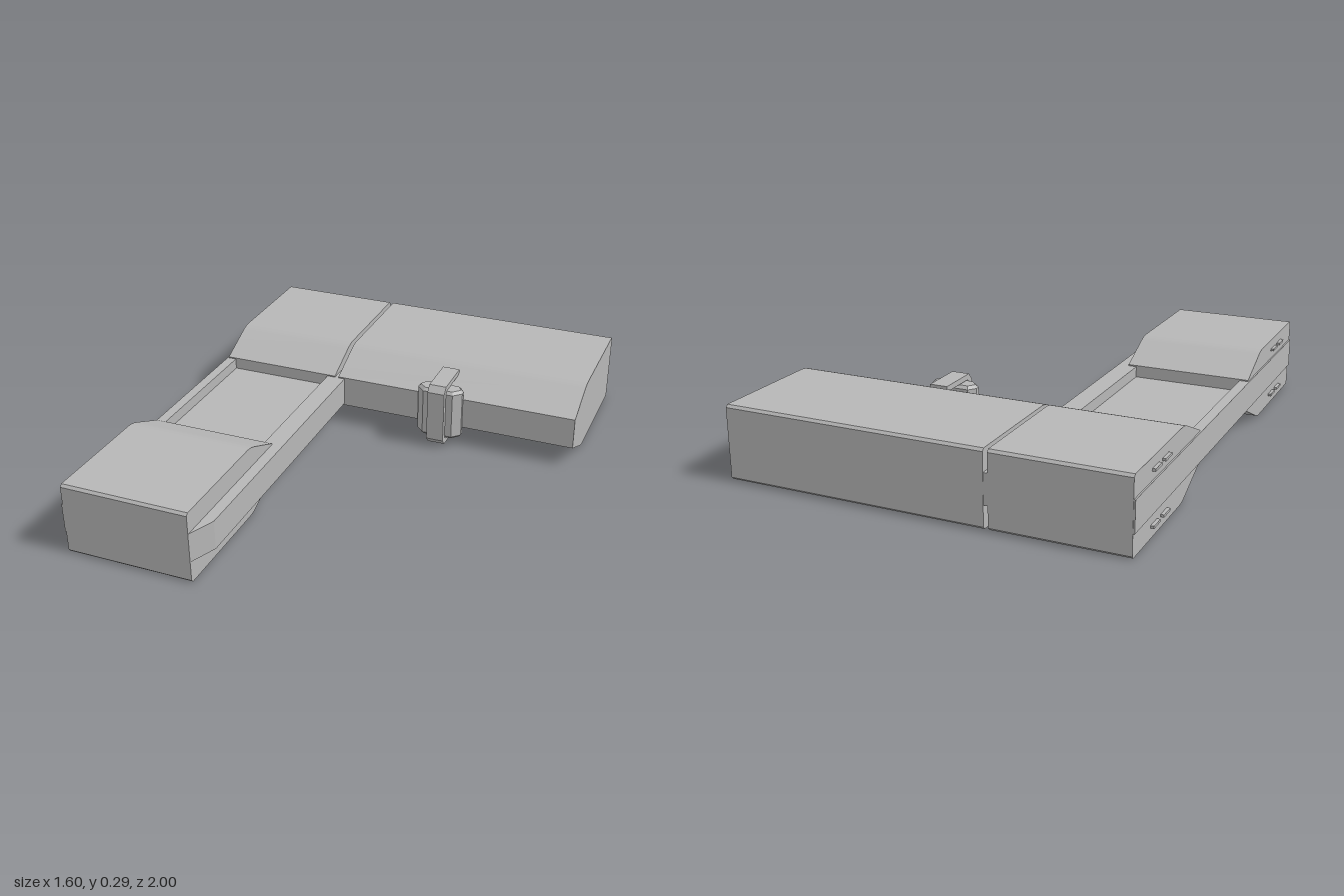
import * as THREE from 'three';
import { toCreasedNormals } from 'three/addons/utils/BufferGeometryUtils.js';

export function createModel() {
  const model = new THREE.Group();
  model.name = 'angledFrame';
  const grey = new THREE.MeshStandardMaterial({ color: 0xb6b6b6 });
  grey.name = 'plain grey';

  const add = (name, geometry) => {
    const mesh = new THREE.Mesh(geometry, grey);
    mesh.name = name;
    model.add(mesh);
    return mesh;
  };
  const box = (name, x0, x1, y0, y1, z0, z1) =>
    add(name, new THREE.BoxGeometry(x1 - x0, y1 - y0, z1 - z0))
      .position.set((x0 + x1) / 2, (y0 + y1) / 2, (z0 + z1) / 2);
  const polygon = (points) => new THREE.Shape(points.map(([a, b]) => new THREE.Vector2(a, b)));

  // Extrude a (z, y) profile sideways from x0 to x1
  const acrossX = (name, shape, x0, x1) => {
    const g = new THREE.ExtrudeGeometry(shape, { depth: x1 - x0, bevelEnabled: false, curveSegments: 6 });
    g.rotateY(-Math.PI / 2).translate(x1, 0, 0);
    add(name, toCreasedNormals(g, 0.35));
  };
  // Extrude an (x, z) outline upwards from y0 to y1, with an optional chamfer
  const upY = (name, points, y0, y1, bevel = 0) => {
    const g = new THREE.ExtrudeGeometry(polygon(points.map(([x, z]) => [x, -z])), {
      depth: y1 - y0 - 2 * bevel, bevelEnabled: bevel > 0, bevelSize: bevel,
      bevelThickness: bevel, bevelOffset: -bevel, bevelSegments: 1,
    });
    g.rotateX(-Math.PI / 2).translate(0, y0 + bevel, 0);
    add(name, g);
  };

  // Block profile: full height outside, tapering towards the middle of the frame
  const blockProfile = (s) => {
    const p = new THREE.Shape();
    p.moveTo(s * 0.99, 0);
    p.lineTo(s * 1, 0.01);
    p.lineTo(s * 1, 0.285);
    p.lineTo(s * 0.99, 0.295);
    p.lineTo(s * 0.53, 0.295);
    p.quadraticCurveTo(s * 0.5, 0.295, s * 0.47, 0.282);
    p.lineTo(s * 0.318, 0.215);
    p.lineTo(s * 0.318, 0.082);
    p.lineTo(s * 0.47, 0.014);
    p.quadraticCurveTo(s * 0.5, 0, s * 0.53, 0);
    p.closePath();
    return p;
  };
  acrossX('frontBlock', blockProfile(1), -0.79, -0.27);
  acrossX('backCornerBlock', blockProfile(-1), -0.79, -0.27);
  acrossX('backLongBlock', blockProfile(-1), -0.253, 0.8);

  // Rails, running the whole depth and filling the middle of the seam
  box('outerRail', -0.796, -0.755, 0.09, 0.21, -0.998, 0.998);
  upY('innerRail', [[-0.305, -0.998], [-0.225, -0.998], [-0.225, 0.89], [-0.27, 0.998], [-0.305, 0.998]], 0.09, 0.21);

  // Recessed panel between the rails
  box('panel', -0.76, -0.3, 0.135, 0.165, -0.33, 0.33);

  // Thin raised tabs on the outer side
  for (const s of [-1, 1])
    for (const y of [0.045, 0.25])
      for (const z of [0.7, 0.8])
        box('sideTab', -0.803, -0.785, y - 0.005, y + 0.005, s * z - 0.032, s * z + 0.032);

  // Clip body with faceted wings
  upY('clipBody', [
    [0.122, -0.325], [0.145, -0.355], [0.295, -0.355], [0.318, -0.325],
    [0.318, -0.305], [0.285, -0.272], [0.155, -0.272], [0.122, -0.305],
  ], 0.038, 0.26, 0.012);

  // Clip strap hooked over the front edge of the long block
  acrossX('clipStrap', polygon([
    [-0.45, 0.285], [-0.27, 0.285], [-0.247, 0.258], [-0.247, 0.038], [-0.27, 0.012], [-0.45, 0.012],
    [-0.45, 0.034], [-0.282, 0.034], [-0.27, 0.048], [-0.27, 0.25], [-0.282, 0.263], [-0.45, 0.263],
  ]), 0.183, 0.257);

  return model;
}
